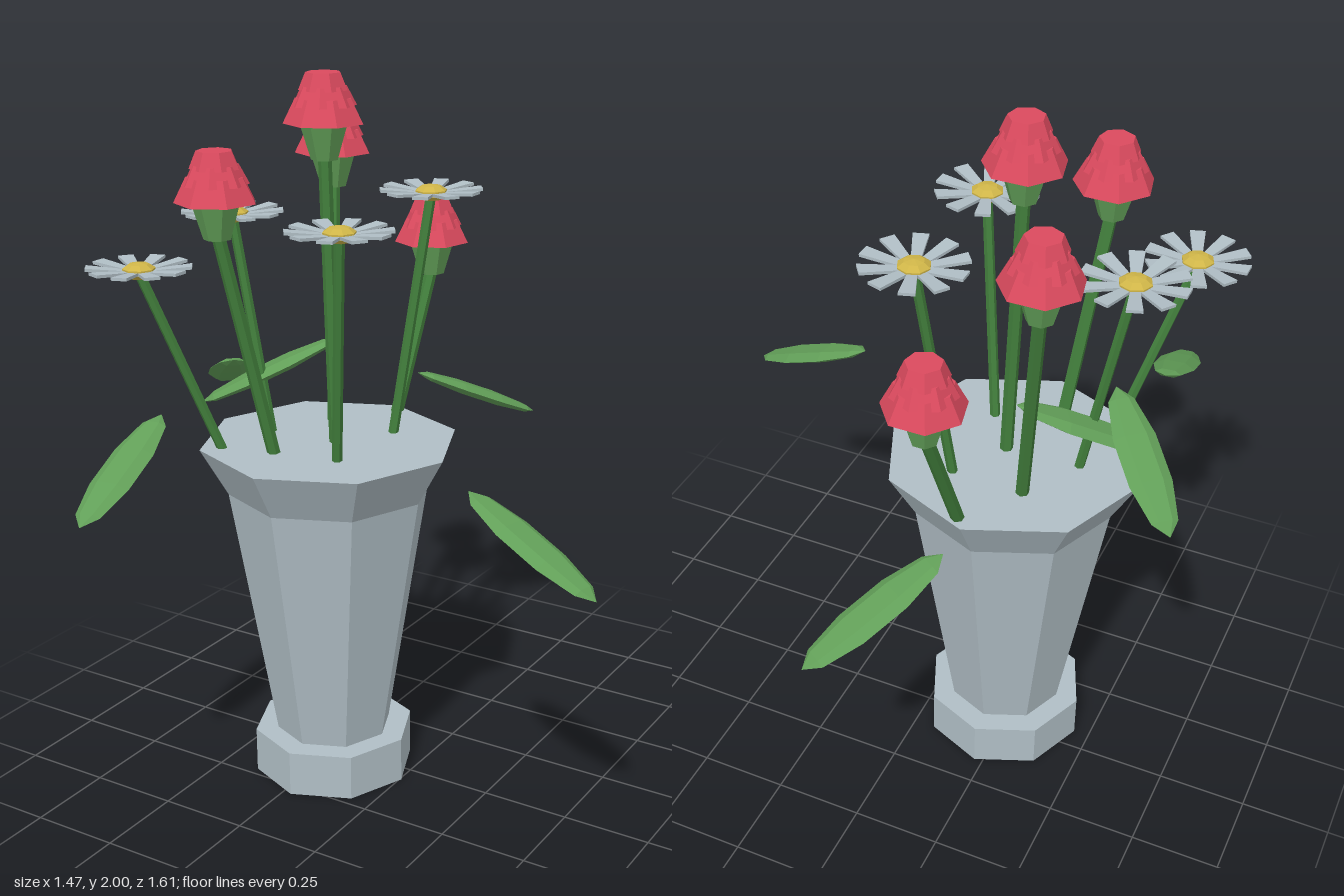
import * as THREE from 'three';

const mat = (name, color) => {
  const m = new THREE.MeshStandardMaterial({ color, flatShading: true });
  m.name = name;
  return m;
};

export function createModel() {
  const grey = mat('pale blue grey', 0xb0bec5);
  const red = mat('rose red', 0xdb4a5e);
  const leafGreen = mat('leaf green', 0x629f58);
  const stemGreen = mat('stem green', 0x427f3c);
  const yellow = mat('pollen yellow', 0xcfb548);

  const model = new THREE.Group();
  model.name = 'flowerVase';
  const add = (parent, name, geo, material) => {
    const mesh = new THREE.Mesh(geo, material);
    mesh.name = name;
    parent.add(mesh);
    return mesh;
  };
  const group = (name, x, y, z) => {
    const g = new THREE.Group();
    g.name = name;
    g.position.set(x, y, z);
    model.add(g);
    return g;
  };
  // Frustum standing between two heights
  const frustum = (rTop, rBottom, y0, y1, sides, turn = 0) =>
    new THREE.CylinderGeometry(rTop, rBottom, y1 - y0, sides).rotateY(turn).translate(0, (y0 + y1) / 2, 0);

  // Vase: octagonal foot, flared body and closed top
  const vase = group('vase', -0.225, 0, 0.06);
  add(vase, 'foot', frustum(0.23, 0.23, 0, 0.13, 8), grey);
  const profile = [[0, 0.1], [0.16, 0.1], [0.165, 0.13], [0.285, 0.865], [0.36, 1], [0, 1]];
  add(vase, 'body', new THREE.LatheGeometry(profile.map(p => new THREE.Vector2(...p)), 8), grey);

  // Straight stem between two points
  const up = new THREE.Vector3(0, 1, 0);
  const stem = (from, to, r) => {
    const a = new THREE.Vector3(...from), b = new THREE.Vector3(...to);
    const dir = b.clone().sub(a);
    const mesh = add(model, 'stem', new THREE.CylinderGeometry(r, r, dir.length(), 6), stemGreen);
    mesh.position.copy(a).add(b).multiplyScalar(0.5);
    mesh.quaternion.setFromUnitVectors(up, dir.normalize());
  };

  // Roses: [top of bloom], [foot x, foot z]
  const roses = [
    [[-0.225, 2.0, 0.06], [-0.2, 0.065]],
    [[-0.39, 1.87, -0.23], [-0.31, -0.09]],
    [[-0.355, 1.83, 0.36], [-0.295, 0.22]],
    [[-0.19, 1.6, -0.44], [-0.2, -0.25]],
  ];
  const tiers = [[0.075, 0.108, -0.13, -0.065], [0.06, 0.086, -0.085, -0.035], [0.047, 0.066, -0.045, 0]];
  for (const [[x, y, z], [fx, fz]] of roses) {
    const rose = group('rose', x, y, z);
    tiers.forEach(([rt, rb, y0, y1], i) =>
      add(rose, 'petalTier', frustum(rt, rb, y0, y1, 7, i * Math.PI / 7), red));
    add(rose, 'calyx', frustum(0.066, 0.036, -0.225, -0.125, 7), leafGreen);
    stem([fx, 0.98, fz], [x, y - 0.21, z], 0.018);
  }

  // Daisies: [centre], [foot x, foot z]
  const daisies = [
    [[-0.04, 1.665, -0.175], [-0.11, -0.085]],
    [[-0.52, 1.6, 0.075], [-0.405, 0.075]],
    [[-0.035, 1.635, 0.285], [-0.115, 0.19]],
    [[-0.585, 1.5, 0.4], [-0.435, 0.26]],
  ];
  // Petal: thin plate, narrow at the heart, slightly raised at the tip
  const petal = new THREE.BoxGeometry(0.115, 0.008, 0.042).translate(0.0805, 0, 0);
  const pos = petal.attributes.position;
  for (let i = 0; i < pos.count; i++) {
    if (pos.getX(i) < 0.05) pos.setZ(i, pos.getZ(i) * 0.55);
    else pos.setY(i, pos.getY(i) + 0.012);
  }
  for (const [[x, y, z], [fx, fz]] of daisies) {
    const daisy = group('daisy', x, y, z);
    for (let i = 0; i < 10; i++) add(daisy, 'petal', petal, grey).rotation.y = i * Math.PI / 5;
    add(daisy, 'heart', new THREE.SphereGeometry(0.046, 8, 5).scale(1, 0.5, 1).translate(0, 0.003, 0), yellow);
    stem([fx, 0.98, fz], [x, y - 0.004, z], 0.014);
  }

  // Leaves: upper end to lower end
  const leaves = [
    [[0.335, 1.03, 0.28], [0.73, 0.85, 0.36]],
    [[-0.25, 1.055, -0.46], [-0.03, 0.875, -0.805]],
    [[-0.53, 1.12, 0.405], [-0.485, 0.94, 0.8]],
    [[-0.465, 1.22, 0.165], [-0.735, 1.04, -0.15]],
    [[-0.275, 1.255, -0.065], [-0.6, 1.07, 0.14]],
  ];
  const leafGeo = new THREE.SphereGeometry(1, 6, 5).rotateX(Math.PI / 2);
  for (const [a, b] of leaves) {
    const p = new THREE.Vector3(...a), q = new THREE.Vector3(...b);
    const leaf = add(model, 'leaf', leafGeo, leafGreen);
    leaf.scale.set(0.062, 0.02, p.distanceTo(q) / 2);
    leaf.position.copy(p).add(q).multiplyScalar(0.5);
    leaf.lookAt(q);
  }
  return model;
}
